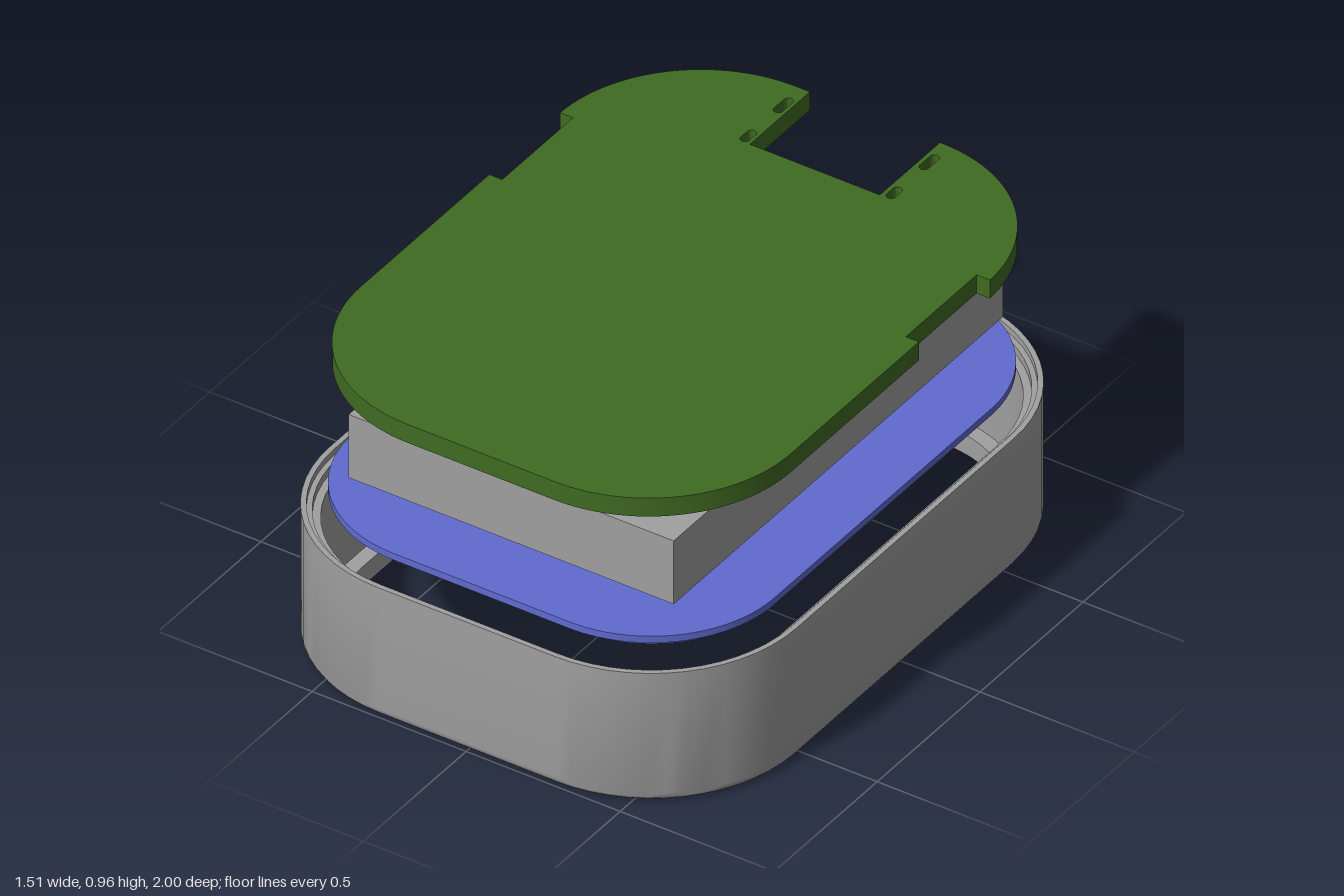
import * as THREE from 'three';
import { toCreasedNormals } from 'three/addons/utils/BufferGeometryUtils.js';

const CORNER_STEPS = 14;

function material(name, color) {
  const m = new THREE.MeshStandardMaterial({ color });
  m.name = name;
  return m;
}

// Sweeps a closed (inset, height) profile around a rounded rectangle.
function sweepRing(halfX, halfZ, radius, profile) {
  const positions = [], indices = [], n = profile.length;
  const corners = [[1, 1], [-1, 1], [-1, -1], [1, -1]];
  const rows = 4 * (CORNER_STEPS + 1);
  corners.forEach(([sx, sz], q) => {
    for (let k = 0; k <= CORNER_STEPS; k++) {
      const a = (q + k / CORNER_STEPS) * Math.PI / 2;
      for (const [inset, y] of profile) {
        const r = radius - inset;
        positions.push(
          sx * (halfX - radius) + r * Math.cos(a), y,
          sz * (halfZ - radius) + r * Math.sin(a));
      }
    }
  });
  for (let i = 0; i < rows; i++) {
    const i2 = (i + 1) % rows;
    for (let j = 0; j < n; j++) {
      const j2 = (j + 1) % n;
      const a = i * n + j, b = i * n + j2, c = i2 * n + j, d = i2 * n + j2;
      indices.push(a, b, c, b, d, c);
    }
  }
  const g = new THREE.BufferGeometry();
  g.setAttribute('position', new THREE.Float32BufferAttribute(positions, 3));
  g.setIndex(indices);
  return toCreasedNormals(g, 0.5);
}

// Extrudes a shape drawn in (x, -z) upward from y0 to y1.
function plate(shape, y0, y1) {
  const g = new THREE.ExtrudeGeometry(shape, {
    depth: y1 - y0, bevelEnabled: false, curveSegments: CORNER_STEPS,
  });
  g.rotateX(-Math.PI / 2);
  g.translate(0, y0, 0);
  return toCreasedNormals(g, 0.5);
}

function roundedRect(path, x0, y0, x1, y1, r) {
  path.absarc(x1 - r, y1 - r, r, 0, Math.PI / 2);
  path.absarc(x0 + r, y1 - r, r, Math.PI / 2, Math.PI);
  path.absarc(x0 + r, y0 + r, r, Math.PI, Math.PI * 1.5);
  path.absarc(x1 - r, y0 + r, r, Math.PI * 1.5, Math.PI * 2);
  path.closePath();
  return path;
}

// Board outline with a connector cutout at the back and a notch on each side.
function boardShape() {
  const x0 = -0.692, x1 = 0.703, y0 = -0.937, y1 = 0.947, r = 0.46;
  const s = new THREE.Shape();
  s.moveTo(x1, 0.148);
  s.lineTo(0.66, 0.148);
  s.lineTo(0.66, 0.492);
  // The notch tops sit slightly inside the corner arcs
  const startAngle = Math.asin((0.492 - (y1 - r)) / r);
  s.absarc(x1 - r, y1 - r, r, startAngle, Math.PI / 2);
  s.lineTo(0.237, y1);
  s.lineTo(0.237, 0.655);
  s.lineTo(-0.185, 0.655);
  s.lineTo(-0.185, y1);
  s.lineTo(x0 + r, y1);
  s.absarc(x0 + r, y1 - r, r, Math.PI / 2, Math.PI - startAngle);
  s.lineTo(-0.65, 0.492);
  s.lineTo(-0.65, 0.148);
  s.lineTo(x0, 0.148);
  s.absarc(x0 + r, y0 + r, r, Math.PI, Math.PI * 1.5);
  s.absarc(x1 - r, y0 + r, r, Math.PI * 1.5, Math.PI * 2);
  s.closePath();

  // Mounting slots beside the connector cutout
  for (const x of [-0.21, 0.264]) {
    for (const [y, h] of [[0.855, 0.076], [0.685, 0.058]]) {
      s.holes.push(roundedRect(new THREE.Path(),
        x - 0.014, y - h / 2, x + 0.014, y + h / 2, 0.0135));
    }
  }
  return s;
}

export function createModel() {
  const model = new THREE.Group();
  model.name = 'explodedEnclosure';
  const grey = material('grey', 0xa0a0a0);
  const blue = material('blue', 0x606bcf);
  const green = material('green', 0x406b22);

  const add = (parent, name, geometry, mat) => {
    const mesh = new THREE.Mesh(geometry, mat);
    mesh.name = name;
    parent.add(mesh);
    return mesh;
  };

  // Case ring: filleted base, inner lip at the bottom, stepped rim at the top
  const fillet = 0.03, profile = [];
  for (let k = 0; k <= 5; k++) {
    const a = k / 5 * Math.PI / 2;
    profile.push([fillet * (1 - Math.sin(a)), fillet * (1 - Math.cos(a))]);
  }
  profile.push(
    [0, 0.43], [0.016, 0.43], [0.016, 0.41], [0.032, 0.41], [0.032, 0.385],
    [0.055, 0.385], [0.055, 0.065], [0.1, 0.065], [0.1, 0]);
  add(model, 'caseRing', sweepRing(0.757, 1, 0.47, profile), grey);

  // Window panel: smaller lower step under a wider flange
  const panel = new THREE.Group();
  panel.name = 'windowPanel';
  model.add(panel);
  const panelLayer = (hx, hz, r) => roundedRect(new THREE.Shape(), -hx, -hz, hx, hz, r);
  add(panel, 'panelStep', plate(panelLayer(0.648, 0.89, 0.36), 0.45, 0.478), blue);
  add(panel, 'panelFlange', plate(panelLayer(0.684, 0.926, 0.4), 0.478, 0.5), blue);

  // Battery block
  const block = add(model, 'batteryBlock', new THREE.BoxGeometry(1.055, 0.21, 1.6), grey);
  block.position.set(0.0125, 0.69, 0);

  // Circuit board
  add(model, 'circuitBoard', plate(boardShape(), 0.895, 0.956), green);

  return model;
}
